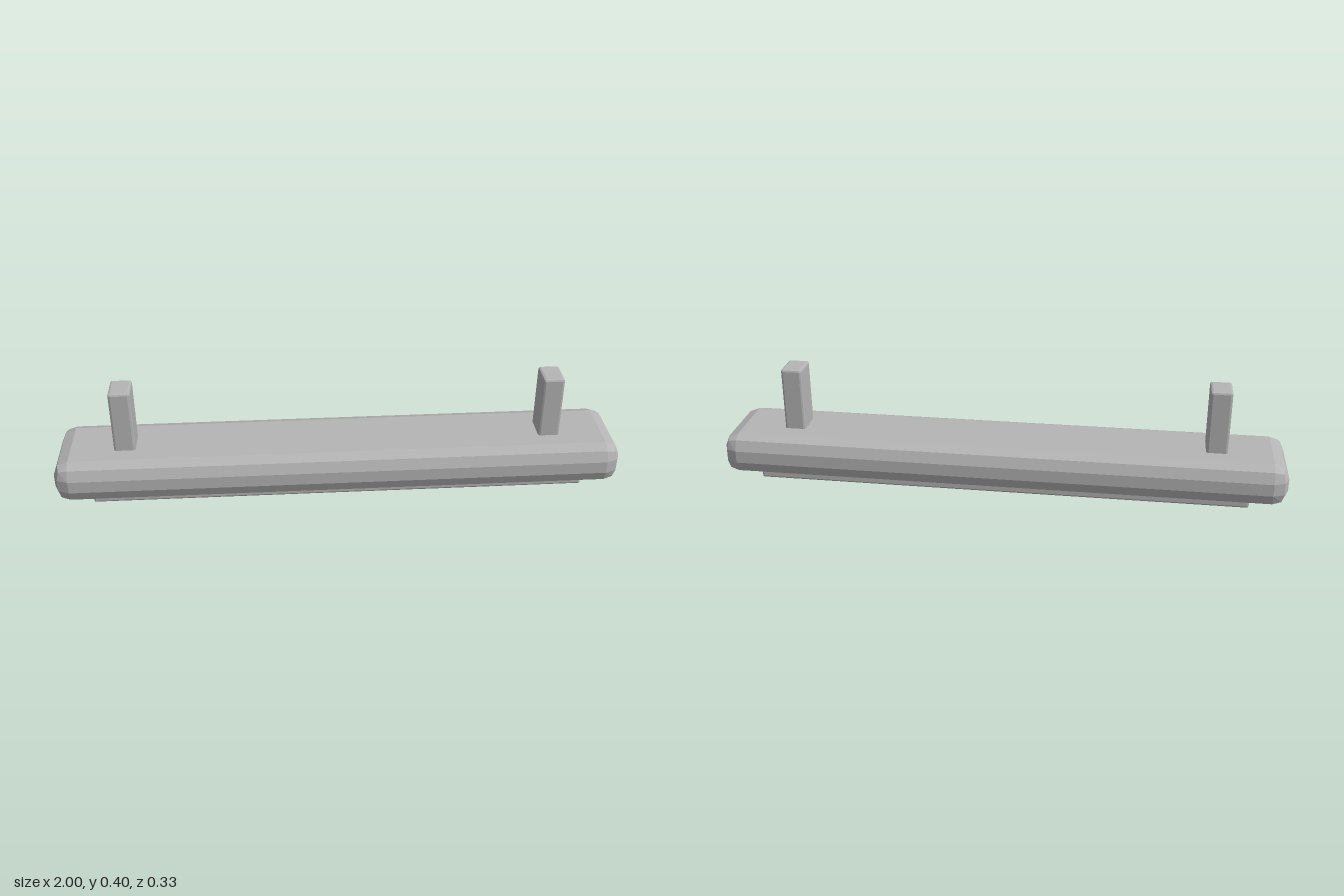
import * as THREE from 'three';
import { ConvexGeometry } from 'three/addons/geometries/ConvexGeometry.js';

// Box with two-step faceted bevels: seven points on each corner's sphere octant
function bevelBox(w, h, d, r) {
  const points = [];
  for (const sx of [-1, 1]) for (const sy of [-1, 1]) for (const sz of [-1, 1]) {
    for (let i = 1; i < 8; i++) {
      const dir = new THREE.Vector3(i & 1, (i >> 1) & 1, i >> 2).normalize().multiplyScalar(r);
      points.push(new THREE.Vector3(
        sx * (w / 2 - r + dir.x),
        sy * (h / 2 - r + dir.y),
        sz * (d / 2 - r + dir.z)
      ));
    }
  }
  return new ConvexGeometry(points);
}

export function createModel() {
  const group = new THREE.Group();
  const grey = new THREE.MeshStandardMaterial({ color: 0xb4b4b4, flatShading: true });
  grey.name = 'plain grey';

  const add = (name, size, radius, x, y) => {
    const mesh = new THREE.Mesh(bevelBox(...size, radius), grey);
    mesh.name = name;
    mesh.position.set(x, y, 0);
    group.add(mesh);
  };

  // Long rounded bar
  add('bar', [2, 0.15, 0.326], 0.053, 0, 0.104);

  // Thin plate under the bar
  add('basePlate', [1.75, 0.03, 0.22], 0.007, 0, 0.017);

  // Upright posts near both ends
  for (const side of [1, -1]) {
    add(side > 0 ? 'leftPost' : 'rightPost', [0.075, 0.3, 0.104], 0.008, side * 0.755, 0.256);
  }

  // Stand on the ground
  group.position.y = -0.002;
  return group;
}
